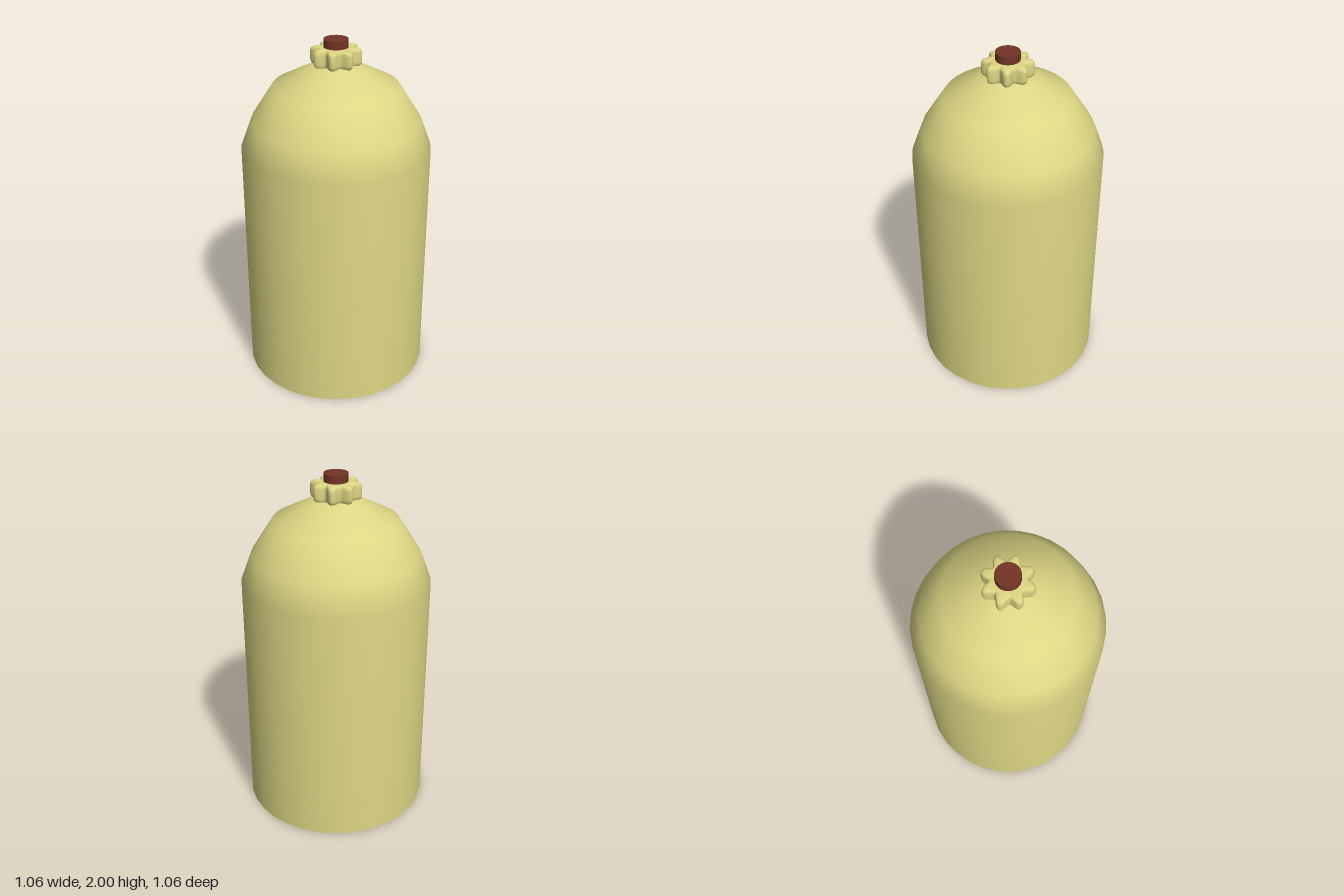
import * as THREE from 'three';
import { mergeVertices } from 'three/addons/utils/BufferGeometryUtils.js';

const lathe = (points, sides) =>
  new THREE.LatheGeometry(points.map(([r, y]) => new THREE.Vector2(r, y)), sides);

// Valve handwheel: a rounded disc whose radius swells into eight lobes
function handwheelGeometry() {
  const lobes = 8, phase = THREE.MathUtils.degToRad(10.5);
  const geometry = lathe([
    [0, 1.855], [0.09, 1.855], [0.112, 1.858], [0.122, 1.866], [0.126, 1.882],
    [0.126, 1.93], [0.122, 1.945], [0.112, 1.952], [0.09, 1.955], [0, 1.955],
  ], 96);
  const p = geometry.attributes.position;
  for (let i = 0; i < p.count; i++) {
    const x = p.getX(i), z = p.getZ(i);
    const r = Math.hypot(x, z);
    const wave = Math.cos(lobes * (Math.atan2(-z, x) - phase));
    // the lobes fade out towards the hub
    const s = 1 + (-0.04 + 0.16 * wave) * THREE.MathUtils.smoothstep(r, 0.05, 0.12);
    p.setX(i, x * s);
    p.setZ(i, z * s);
  }
  // weld the seam so the shading is smooth all round
  geometry.deleteAttribute('uv');
  geometry.deleteAttribute('normal');
  const welded = mergeVertices(geometry, 1e-5);
  welded.computeVertexNormals();
  return welded;
}

export function createModel() {
  const model = new THREE.Group();
  model.name = 'gasCylinder';
  const paint = new THREE.MeshStandardMaterial({ color: 0xddd684 });
  const rust = new THREE.MeshStandardMaterial({ color: 0x733525 });

  const add = (name, geometry, material, y = 0) => {
    const mesh = new THREE.Mesh(geometry, material);
    mesh.name = name;
    mesh.position.y = y;
    model.add(mesh);
    return mesh;
  };

  // Tank wall and faceted-profile shoulder
  add('tank', lathe([
    [0.532, 0], [0.532, 1.39], [0.472, 1.55], [0.35, 1.74], [0.12, 1.86], [0, 1.865],
  ], 32), paint);

  // Flat bottom, turned to share the wall's corners
  add('base', new THREE.CircleGeometry(0.532, 32).rotateX(Math.PI / 2), paint);

  add('handwheel', handwheelGeometry(), paint);

  // Valve stem through the handwheel
  add('valveStem', new THREE.CylinderGeometry(0.067, 0.067, 0.14, 20), rust, 1.93);

  return model;
}
